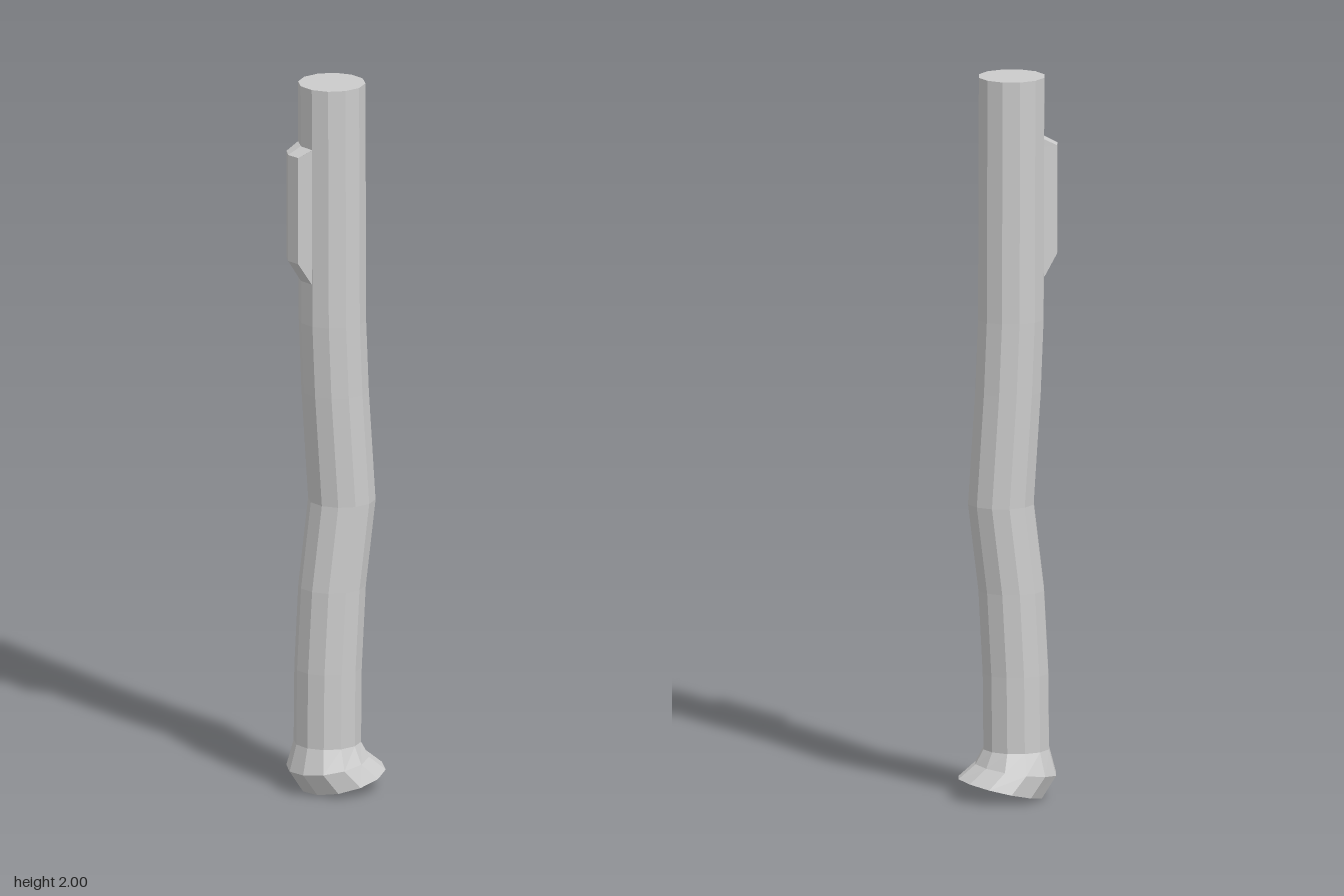
import * as THREE from 'three';

const SIDES = 12;
const material = new THREE.MeshStandardMaterial({ color: 0xcccccc, flatShading: true });

// Skins a stack of rings (bottom to top, each counter-clockwise from above) and caps both ends.
function loft(name, rings) {
  const n = rings[0].length;
  const index = [];
  for (let i = 0; i < rings.length - 1; i++) {
    for (let j = 0; j < n; j++) {
      const k = (j + 1) % n;
      const a = i * n + j, b = i * n + k, c = b + n, d = a + n;
      index.push(a, b, c, a, c, d);
    }
  }
  const top = (rings.length - 1) * n;
  for (let j = 1; j < n - 1; j++) {
    index.push(0, j + 1, j, top, top + j, top + j + 1);
  }
  const indexed = new THREE.BufferGeometry();
  indexed.setAttribute('position', new THREE.Float32BufferAttribute(rings.flat(2), 3));
  indexed.setIndex(index);
  const geometry = indexed.toNonIndexed();
  geometry.computeVertexNormals();
  const mesh = new THREE.Mesh(geometry, material);
  mesh.name = name;
  return mesh;
}

// A round ring, tilted by raising its +x side.
function ring({ x, y, rx, rz = rx, rise = 0 }) {
  return Array.from({ length: SIDES }, (_, i) => {
    const a = (i / SIDES) * Math.PI * 2;
    return [x + rx * Math.cos(a), y + rise * Math.cos(a), -rz * Math.sin(a)];
  });
}

export function createModel() {
  const group = new THREE.Group();
  group.name = 'bentPipe';

  // Bent shaft with a flared, slanted foot
  const r = 0.092;
  group.add(loft('shaft', [
    { x: 0.021, y: 0.033, rx: 0.117, rz: 0.121, rise: 0.028 },
    { x: -0.023, y: 0.083, rx: 0.113, rise: 0.017 },
    { x: -0.024, y: 0.14, rx: r },
    { x: -0.022, y: 0.35, rx: r },
    { x: -0.01, y: 0.58, rx: r },
    { x: 0.019, y: 0.82, rx: r },
    { x: -0.001, y: 1.13, rx: r },
    { x: -0.009, y: 1.33, rx: r },
    { x: -0.011, y: 2, rx: r },
  ].map(ring)));

  // Raised rib on the right side, growing out of two shaft facets
  const rib = (y, out) => {
    const x = -0.091 - 0.037 * out, z = 0.047 - 0.008 * out;
    return [
      [-0.09, y, -0.047], [x, y, -z], [-0.103 - 0.037 * out, y, 0],
      [x, y, z], [-0.09, y, 0.047], [-0.095, y, 0],
    ];
  };
  group.add(loft('sideRib', [rib(1.45, 0), rib(1.51, 1), rib(1.81, 1), rib(1.83, 0)]));

  return group;
}
